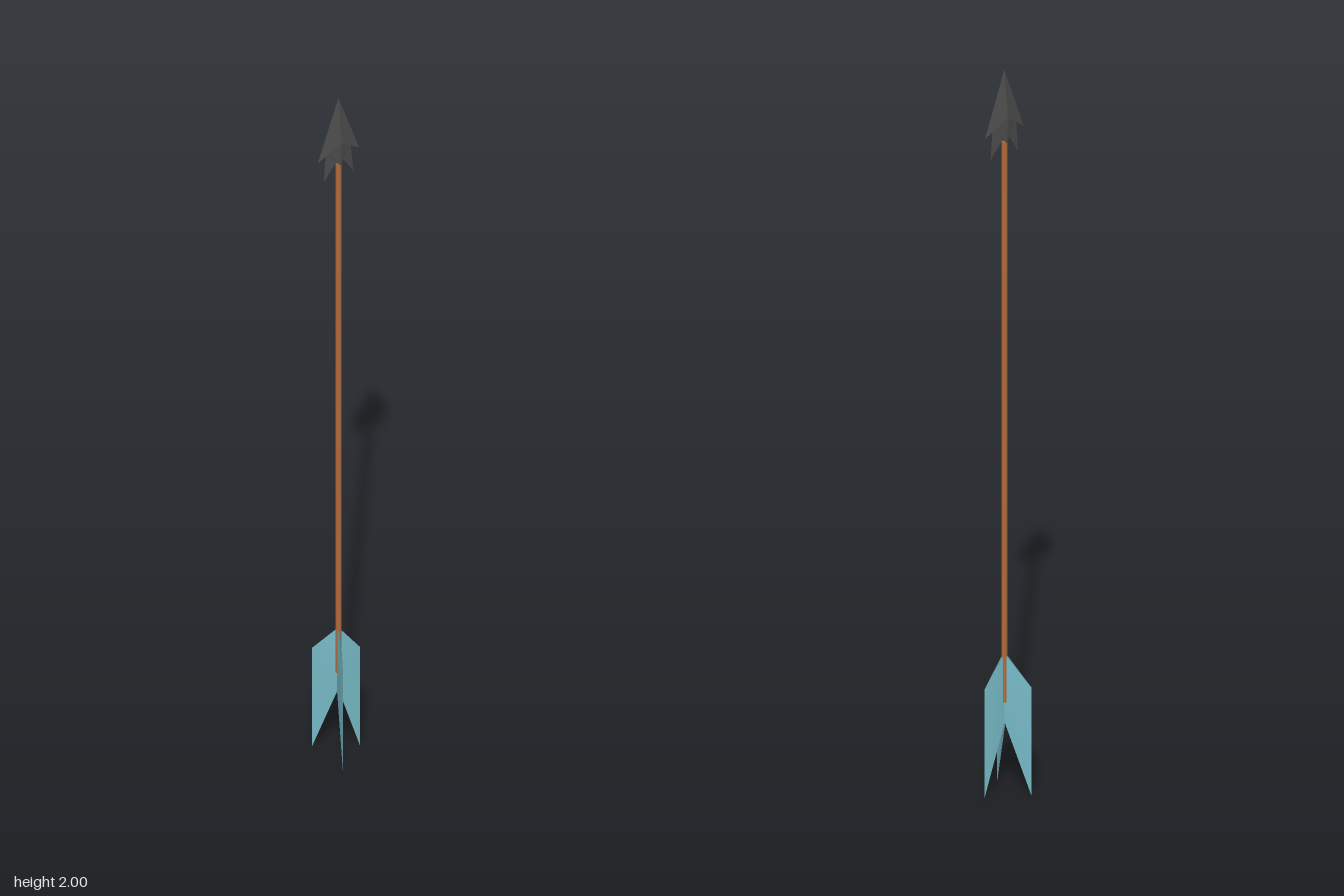
import * as THREE from 'three';

// Tapered blade: clockwise outline of [radius, height, half thickness],
// filled by the listed triangles on both faces and closed round the rim.
function bladeGeometry(points, triangles) {
  const n = points.length;
  const position = [];
  for (const side of [1, -1]) {
    for (const [r, y, t] of points) position.push(r, y, side * t);
  }
  const index = [];
  for (const [a, b, c] of triangles) index.push(a, c, b, a + n, b + n, c + n);
  for (let i = 0; i < n; i++) {
    const j = (i + 1) % n;
    index.push(i, j, j + n, i, j + n, i + n);
  }
  const geometry = new THREE.BufferGeometry();
  geometry.setAttribute('position', new THREE.Float32BufferAttribute(position, 3));
  geometry.setIndex(index);
  geometry.computeVertexNormals();
  return geometry;
}

export function createModel() {
  const model = new THREE.Group();
  model.name = 'arrow';
  const wood = new THREE.MeshStandardMaterial({ color: 0xb06a3a });
  const iron = new THREE.MeshStandardMaterial({ color: 0x4c4c4c, flatShading: true });
  const feather = new THREE.MeshStandardMaterial({ color: 0x78bcc8, side: THREE.DoubleSide });

  // Shaft
  const shaft = new THREE.Mesh(new THREE.CylinderGeometry(0.008, 0.008, 1.6, 12), wood);
  shaft.name = 'shaft';
  shaft.position.y = 1.05;
  model.add(shaft);

  // Double-barbed head: two mirrored halves lying in the z-y plane
  const headGeometry = bladeGeometry(
    [
      [0, 2, 0], // tip
      [0.065, 1.825, 0], // upper barb
      [0.036, 1.846, 0.004], // notch
      [0.046, 1.762, 0], // lower barb
      [0.011, 1.812, 0.007], // beside the shaft
      [0, 1.8, 0.01], // socket
      [0, 1.87, 0.014], // ridge
    ],
    [[0, 1, 6], [1, 2, 6], [6, 2, 5], [2, 3, 4], [2, 4, 5]]
  );
  const head = new THREE.Group();
  head.name = 'head';
  for (const side of [1, -1]) {
    const half = new THREE.Mesh(headGeometry, iron);
    half.name = side > 0 ? 'headFrontHalf' : 'headBackHalf';
    half.rotation.y = -side * Math.PI / 2;
    head.add(half);
  }
  model.add(head);

  // Three swallow-tailed vanes
  const fletching = new THREE.Group();
  fletching.name = 'fletching';
  const tips = [['leftVane', 0.067, 0.034], ['rightVane', -0.067, 0.034], ['backVane', 0, -0.067]];
  for (const [name, x, z] of tips) {
    const r = Math.hypot(x, z);
    const geometry = bladeGeometry(
      [[0, 0.385, 0.004], [r, 0.3, 0.0003], [r, 0, 0.0003], [0, 0.2, 0.004]],
      [[0, 1, 3], [1, 2, 3]]
    );
    const vane = new THREE.Mesh(geometry, feather);
    vane.name = name;
    vane.rotation.y = Math.atan2(-z, x);
    fletching.add(vane);
  }
  model.add(fletching);

  return model;
}
